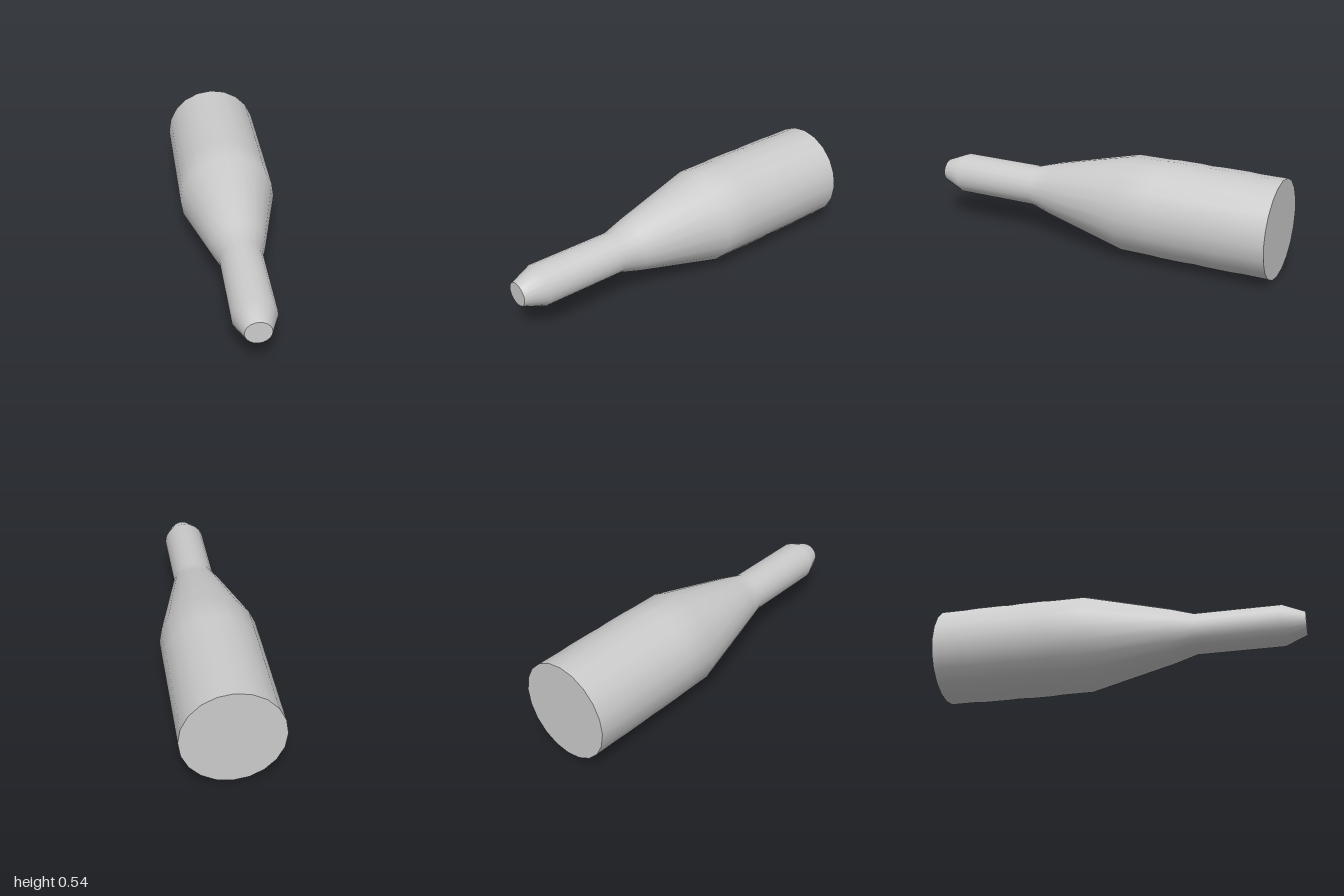
import * as THREE from 'three';

const SIDES = 20;
const CENTRE_Y = 0.271;

// Cross-sections from back to front: [z, half width, half height]
const RINGS = [
  [-1, 0.263, 0.264],
  [-0.86, 0.263, 0.264],
  [-0.8, 0.263, 0.268],
  [-0.65, 0.263, 0.268],
  [-0.6, 0.263, 0.265],
  [-0.54, 0.263, 0.269],
  [-0.41, 0.263, 0.269],
  [-0.36, 0.263, 0.265],
  [-0.18, 0.263, 0.264],
  [0.29, 0.146, 0.149],
  [0.41, 0.115, 0.112],
  [0.88, 0.115, 0.112],
  [1, 0.068, 0.0625],
];

export function createModel() {
  const group = new THREE.Group();
  group.name = 'bottle';
  const material = new THREE.MeshStandardMaterial({ color: 0xcccccc });

  function add(name, geometry) {
    const mesh = new THREE.Mesh(geometry, material);
    mesh.name = name;
    mesh.position.y = CENTRE_Y;
    group.add(mesh);
  }

  // Body, shoulder, neck and tapered tip: a lathe lying along z
  const profile = RINGS.map(([z, rx]) => new THREE.Vector2(rx, z));
  const shell = new THREE.LatheGeometry(profile, SIDES);
  shell.rotateX(Math.PI / 2);

  // Adjust each ring's height to its slightly oval section
  const pos = shell.attributes.position;
  for (let i = 0; i < pos.count; i++) {
    const [, rx, ry] = RINGS[i % RINGS.length];
    pos.setY(i, pos.getY(i) * ry / rx);
  }
  add('bottleShell', shell);

  // Flat end caps
  function cap(name, [z, rx, ry], facing) {
    const disc = new THREE.CircleGeometry(1, SIDES);
    if (facing < 0) disc.rotateY(Math.PI);
    disc.scale(rx, ry, 1);
    disc.translate(0, 0, z);
    add(name, disc);
  }
  cap('base', RINGS[0], -1);
  cap('tipCap', RINGS[RINGS.length - 1], 1);

  return group;
}
